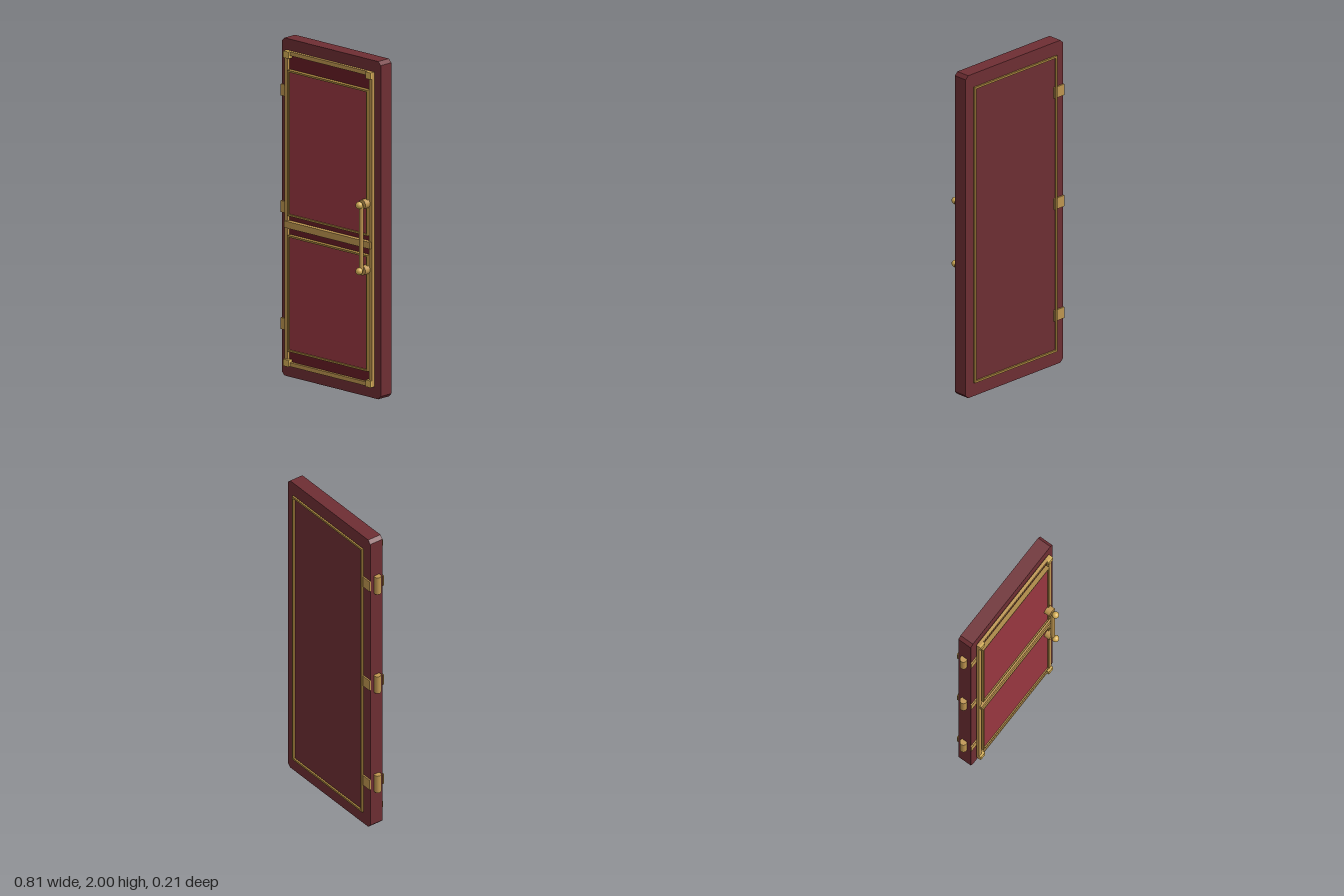
import * as THREE from 'three';

const mat = (color) => new THREE.MeshStandardMaterial({ color });

export function createModel() {
  const door = new THREE.Group();
  door.name = 'door';
  const wood = mat(0x6e2e33), inset = mat(0x651c24), red = mat(0x983640);
  const brass = mat(0xbf9650), gold = mat(0xd6b058), darkBrass = mat(0xa8843e);

  const add = (name, geometry, material, x = 0, y = 0, z = 0) => {
    const mesh = new THREE.Mesh(geometry, material);
    mesh.name = name;
    mesh.position.set(x, y, z);
    door.add(mesh);
    return mesh;
  };
  // Box given by its limits on each axis
  const box = (name, material, x0, x1, y0, y1, z0, z1) =>
    add(name, new THREE.BoxGeometry(x1 - x0, y1 - y0, z1 - z0), material,
      (x0 + x1) / 2, (y0 + y1) / 2, (z0 + z1) / 2);
  // Rectangular frame of strip width w
  const frame = (name, material, x0, x1, y0, y1, z0, z1, w) => {
    const rect = (T, d) => new T([
      new THREE.Vector2(x0 + d, y0 + d), new THREE.Vector2(x1 - d, y0 + d),
      new THREE.Vector2(x1 - d, y1 - d), new THREE.Vector2(x0 + d, y1 - d)]);
    const shape = rect(THREE.Shape, 0);
    shape.holes.push(rect(THREE.Path, w));
    add(name, new THREE.ExtrudeGeometry(shape, { depth: z1 - z0, bevelEnabled: false }), material, 0, 0, z0);
  };

  // Slab with clipped corners
  const [l, r, c] = [-0.375, 0.404, 0.02];
  const slab = new THREE.Shape([
    [l + c, 0], [r - c, 0], [r, c], [r, 2 - c], [r - c, 2], [l + c, 2], [l, 2 - c], [l, c],
  ].map(([x, y]) => new THREE.Vector2(x, y)));
  add('slab', new THREE.ExtrudeGeometry(slab, { depth: 0.088, bevelEnabled: false }), wood, 0, 0, -0.091);

  // Front facing: inset board, border, corner blocks and middle rail
  box('insetBoard', inset, -0.312, 0.342, 0.09, 1.915, -0.004, 0.006);
  frame('frontBorder', brass, -0.33, 0.36, 0.07, 1.935, 0.003, 0.022, 0.024);
  for (const x of [-0.309, 0.339])
    for (const y of [0.09, 1.915])
      box('cornerBlock', gold, x - 0.02, x + 0.02, y - 0.02, y + 0.02, 0.006, 0.035);
  box('middleRail', brass, -0.322, 0.352, 0.89, 0.93, 0.005, 0.034);

  // Two raised panels with thin trim
  for (const [y0, y1] of [[0.16, 0.848], [0.963, 1.826]]) {
    box('panel', red, -0.294, 0.324, y0 + 0.006, y1 - 0.006, 0.004, 0.024);
    frame('panelTrim', darkBrass, -0.3, 0.33, y0, y1, 0.004, 0.032, 0.011);
  }

  // Thin trim standing just off the back
  frame('backTrim', darkBrass, -0.317, 0.345, 0.085, 1.92, -0.107, -0.096, 0.012);

  // Pull handle: mounts, end balls and bar
  const hx = 0.316;
  for (const y of [0.762, 1.153]) {
    add('handleMount', new THREE.CylinderGeometry(0.028, 0.028, 0.055, 20), brass, hx, y, 0.0335)
      .rotation.x = Math.PI / 2;
    add('handleBall', new THREE.SphereGeometry(0.021, 20, 14), gold, hx, y, 0.084);
  }
  add('handleBar', new THREE.CylinderGeometry(0.013, 0.013, 0.391, 16), brass, hx, 0.9575, 0.066);

  // Hinges: barrel with a leaf on each face
  for (const y of [0.307, 1.0, 1.69]) {
    add('hingeBarrel', new THREE.CylinderGeometry(0.021, 0.021, 0.117, 20), brass, -0.386, y, -0.047);
    box('hingeLeafFront', brass, -0.378, -0.298, y - 0.034, y + 0.034, -0.004, 0.005);
    box('hingeLeafBack', brass, -0.378, -0.298, y - 0.034, y + 0.034, -0.1, -0.09);
  }
  return door;
}
